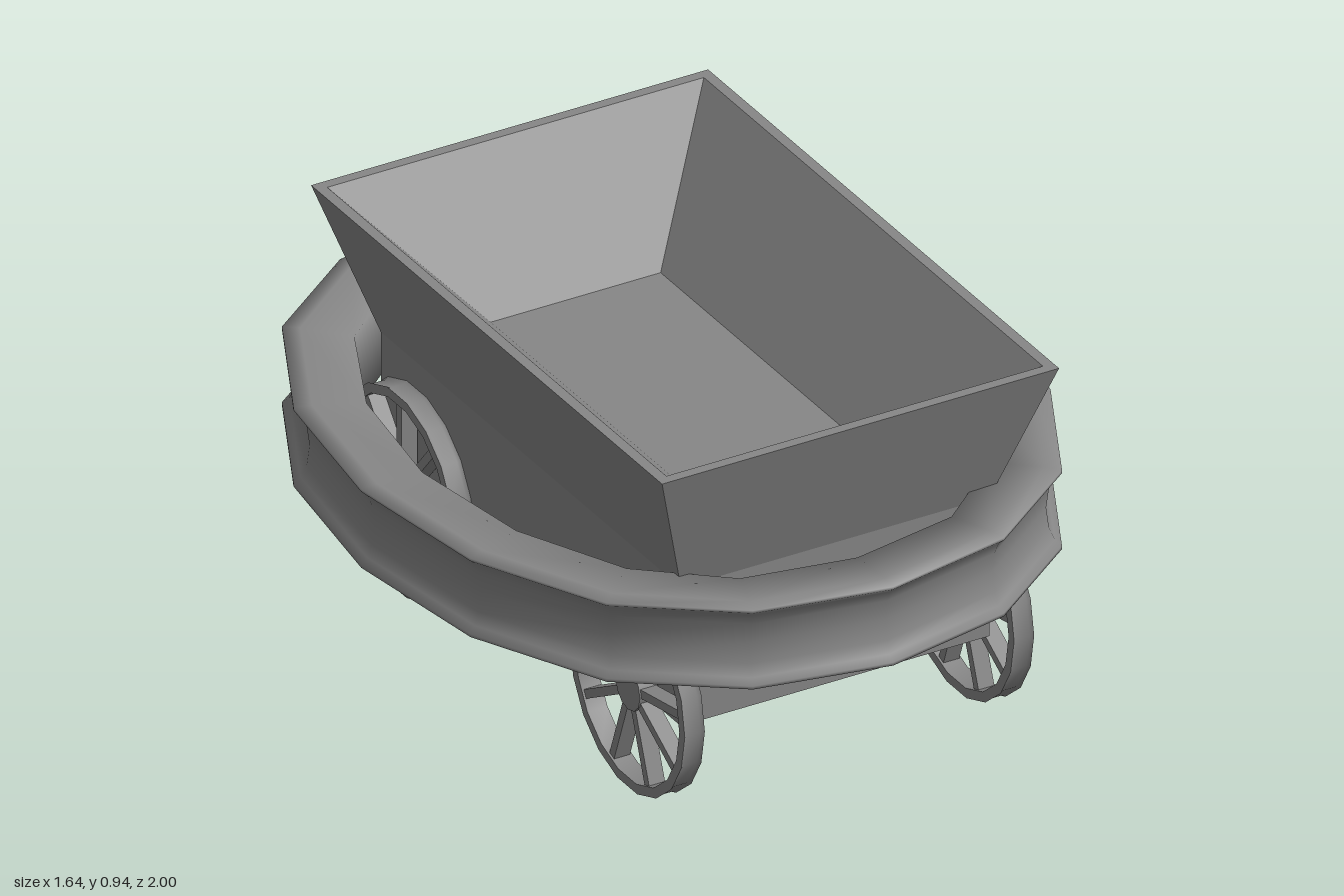
import * as THREE from 'three';
import { toCreasedNormals } from 'three/addons/utils/BufferGeometryUtils.js';

const material = new THREE.MeshStandardMaterial({ color: 0x878787 });

function addMesh(parent, name, geometry) {
  const mesh = new THREE.Mesh(geometry, material);
  mesh.name = name;
  parent.add(mesh);
  return mesh;
}

// Skins horizontal loops (anticlockwise seen from above), optionally joining last to first
function loft(loops, closed, crease) {
  const n = loops[0].length;
  const index = [];
  const rows = closed ? loops.length : loops.length - 1;
  for (let i = 0; i < rows; i++) {
    const lower = i * n, upper = ((i + 1) % loops.length) * n;
    for (let j = 0; j < n; j++) {
      const k = (j + 1) % n;
      index.push(lower + j, lower + k, upper + k, lower + j, upper + k, upper + j);
    }
  }
  const geometry = new THREE.BufferGeometry();
  geometry.setAttribute('position', new THREE.Float32BufferAttribute(loops.flat(2), 3));
  geometry.setIndex(index);
  return toCreasedNormals(geometry, crease);
}

// Straight lower box, flared top, thin rim and sloping inside
function createCart() {
  const sections = [ // half width, half length, height
    [0, 0, 0.22], [0.408, 0.678, 0.22], [0.408, 0.678, 0.585], [0.525, 0.793, 0.948],
    [0.498, 0.766, 0.948], [0.225, 0.495, 0.648], [0, 0, 0.648],
  ];
  const loops = sections.map(([w, l, y]) =>
    [[1, 1], [1, -1], [-1, -1], [-1, 1]].map(([sx, sz]) => [0.0235 + sx * w, y, 0.019 + sz * l]));
  return loft(loops, false, 0.1);
}

// Sixteen-sided oval bumper with a grooved outer face and softly shaded edges
function createBumper() {
  const outer = [[0.822, 0], [0.767, 0.4], [0.602, 0.734], [0.332, 0.933], [0, 1]];
  const inner = [[0.66, 0], [0.61, 0.338], [0.48, 0.615], [0.28, 0.785], [0, 0.838]];
  const around = (quarter) => {
    const points = [];
    for (let i = 0; i < 16; i++) {
      const q = Math.floor(i / 4), s = i % 4;
      const [x, z] = quarter[q % 2 ? 4 - s : s];
      points.push([q === 1 || q === 2 ? -x : x, q < 2 ? -z : z]);
    }
    return points;
  };
  const out = around(outer), inn = around(inner);
  const section = [ // share of the way inward, height
    [0, 0.418], [0, 0.426], [0.1, 0.44], [0.18, 0.47], [0.22, 0.522], [0.18, 0.574],
    [0.1, 0.604], [0, 0.618], [0, 0.625], [0.25, 0.628], [1, 0.622], [1, 0.422], [0.25, 0.416],
  ];
  const loops = section.map(([u, y]) => out.map(([x, z], i) =>
    [x + (inn[i][0] - x) * u, y, z + (inn[i][1] - z) * u]));
  return loft(loops, true, 1.7);
}

function createWheel() {
  const wheel = new THREE.Group();
  wheel.name = 'wheel';
  const half = 0.0265, spokes = 9;
  // Rim with a shallow groove between two lips
  const profile = [[0.235, -half], [0.26, -half], [0.255, -0.018], [0.255, 0.018],
    [0.26, half], [0.235, half], [0.235, -half]].map(([r, y]) => new THREE.Vector2(r, y));
  const rim = new THREE.LatheGeometry(profile, 18).rotateZ(Math.PI / 2);
  addMesh(wheel, 'wheelRim', toCreasedNormals(rim, 0.7));
  const hub = new THREE.CylinderGeometry(0.055, 0.055, 0.05, 12).rotateZ(Math.PI / 2);
  addMesh(wheel, 'wheelHub', hub);
  for (let i = 0; i < spokes; i++) {
    const spoke = new THREE.BoxGeometry(0.042, 0.205, 0.022);
    spoke.translate(0, 0.14, 0).rotateX((i / spokes) * Math.PI * 2);
    addMesh(wheel, 'wheelSpoke', spoke);
  }
  return wheel;
}

export function createModel() {
  const model = new THREE.Group();
  model.name = 'cart';
  addMesh(model, 'cartBody', createCart());
  addMesh(model, 'bumperRing', createBumper());

  // Four wheels beside the body
  for (const x of [-0.412, 0.459]) {
    for (const z of [0.547, -0.494]) {
      const wheel = createWheel();
      wheel.position.set(x, 0.26, z);
      model.add(wheel);
    }
  }
  return model;
}
